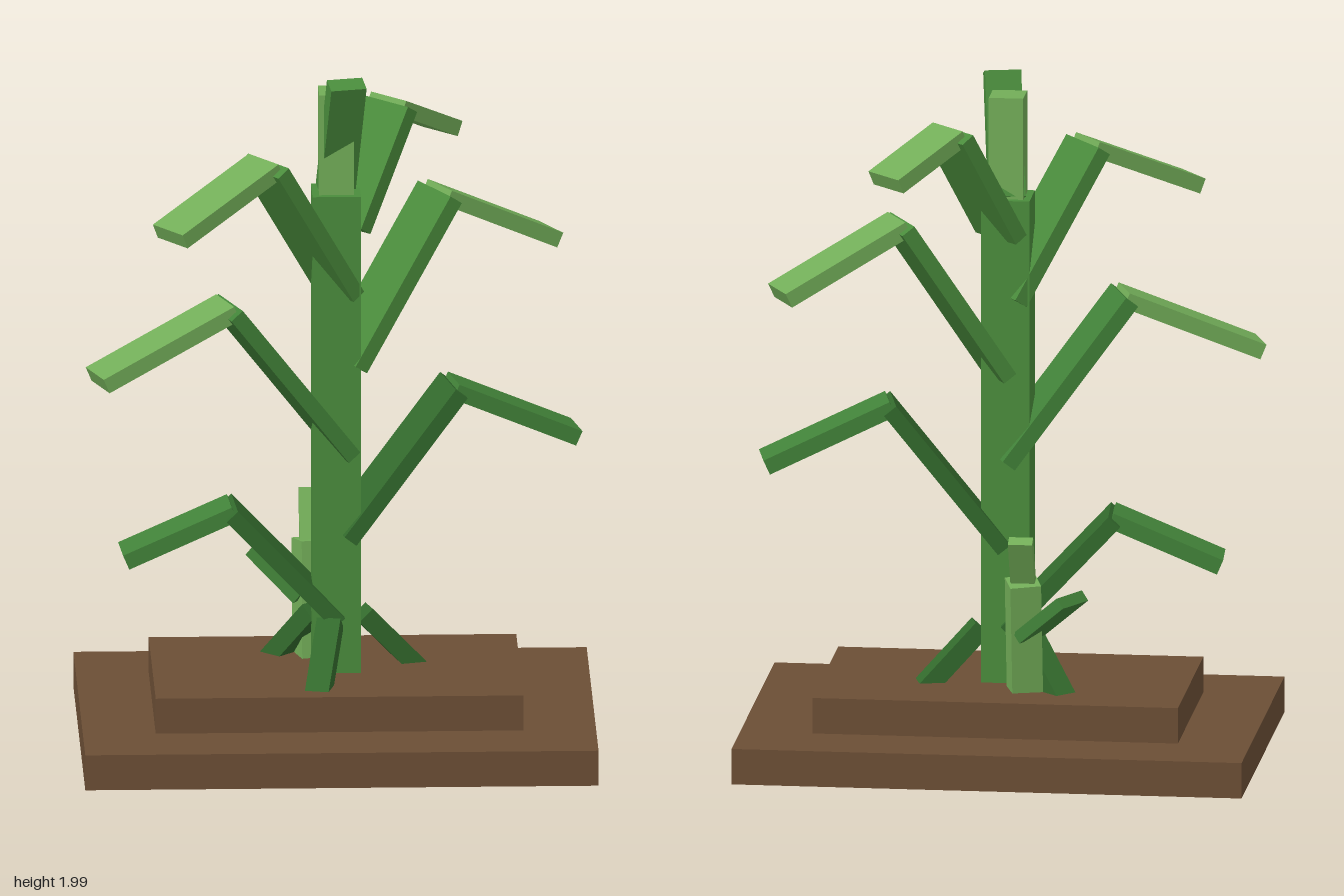
import * as THREE from 'three';

const material = (name, color) => {
  const m = new THREE.MeshStandardMaterial({ color });
  m.name = name;
  return m;
};

export function createModel() {
  const soil = material('soil brown', 0x6b4e35);
  const mid = material('stem green', 0x4a8c3c);
  const leafGreen = material('leaf green', 0x428339);
  const dark = material('dark green', 0x336b2d);
  const light = material('light green', 0x72ad58);

  const model = new THREE.Group();
  model.name = 'plant';

  // Upright box from height y0 to y1
  const block = (name, w, d, y0, y1, mat) => {
    const mesh = new THREE.Mesh(new THREE.BoxGeometry(w, y1 - y0, d), mat);
    mesh.name = name;
    mesh.position.y = (y0 + y1) / 2;
    model.add(mesh);
  };

  // Slanted box running from a to b, its width kept level, with optional roll
  const bar = (name, a, b, width, thick, mat, parent = model, roll = 0) => {
    const start = new THREE.Vector3(...a), end = new THREE.Vector3(...b);
    const geometry = new THREE.BoxGeometry(width, thick, start.distanceTo(end));
    const mesh = new THREE.Mesh(geometry, mat);
    mesh.name = name;
    mesh.position.copy(start).add(end).multiplyScalar(0.5);
    mesh.lookAt(end);
    mesh.rotateZ(roll);
    parent.add(mesh);
  };

  // Point at a radius, height and compass angle (degrees from +x towards +z)
  const polar = (deg, r, y) => {
    const t = THREE.MathUtils.degToRad(deg);
    return [r * Math.cos(t), y, r * Math.sin(t)];
  };

  // Stepped soil and two-piece stem
  block('lowerSoil', 1.48, 1.06, 0, 0.105, soil);
  block('upperSoil', 1.06, 0.63, 0.105, 0.21, soil);
  block('stem', 0.14, 0.14, 0.21, 1.64, mid);
  block('stemTop', 0.1, 0.1, 1.64, 1.94, light);

  // Bent leaves: angle, then [radius, height] at root, bend and tip, then colours
  const leaves = [
    [176, [0, 0.365], [0.31, 0.695], [0.615, 0.56], dark, leafGreen],
    [-12, [0.02, 0.61], [0.35, 1.03], [0.705, 0.865], dark, leafGreen],
    [160, [-0.02, 0.86], [0.345, 1.325], [0.74, 1.15], leafGreen, light],
    [-28, [0.03, 1.12], [0.345, 1.585], [0.705, 1.405], mid, light],
    [144, [-0.01, 1.34], [0.265, 1.76], [0.605, 1.61], mid, light],
    [-44.5, [0.025, 1.53], [0.22, 1.855], [0.445, 1.745], mid, light],
  ];
  leaves.forEach(([deg, root, bend, tip, lowMat, tipMat], i) => {
    const leaf = new THREE.Group();
    leaf.name = `leaf${i + 1}`;
    const at = (p) => polar(deg, ...p);
    bar('leafBase', at(root), at(bend), 0.19, 0.045, lowMat, leaf);
    bar('leafTip', at([bend[0] - 0.01, bend[1]]), at(tip), 0.14, 0.046, tipMat, leaf);
    model.add(leaf);
  });

  // Short leaf at the crown
  bar('crownLeaf', [0, 1.64, -0.03], [0.028, 1.985, 0.095], 0.105, 0.055, mid);

  // Splayed prop roots
  for (const deg of [104, -16, 224]) {
    bar('propRoot', polar(deg, 0.08, 0.365), polar(deg, 0.245, 0.19), 0.07, 0.055, dark);
  }

  // Side shoot behind the stem
  bar('shootStalk', [-0.065, 0.2, -0.135], [-0.065, 0.54, -0.185], 0.09, 0.09, light, model, 0.3);
  bar('shootTip', [-0.065, 0.5, -0.16], [-0.065, 0.675, -0.245], 0.07, 0.035, light);
  bar('shootLeaf', [-0.08, 0.38, -0.165], [-0.215, 0.505, -0.24], 0.125, 0.035, leafGreen);

  return model;
}
